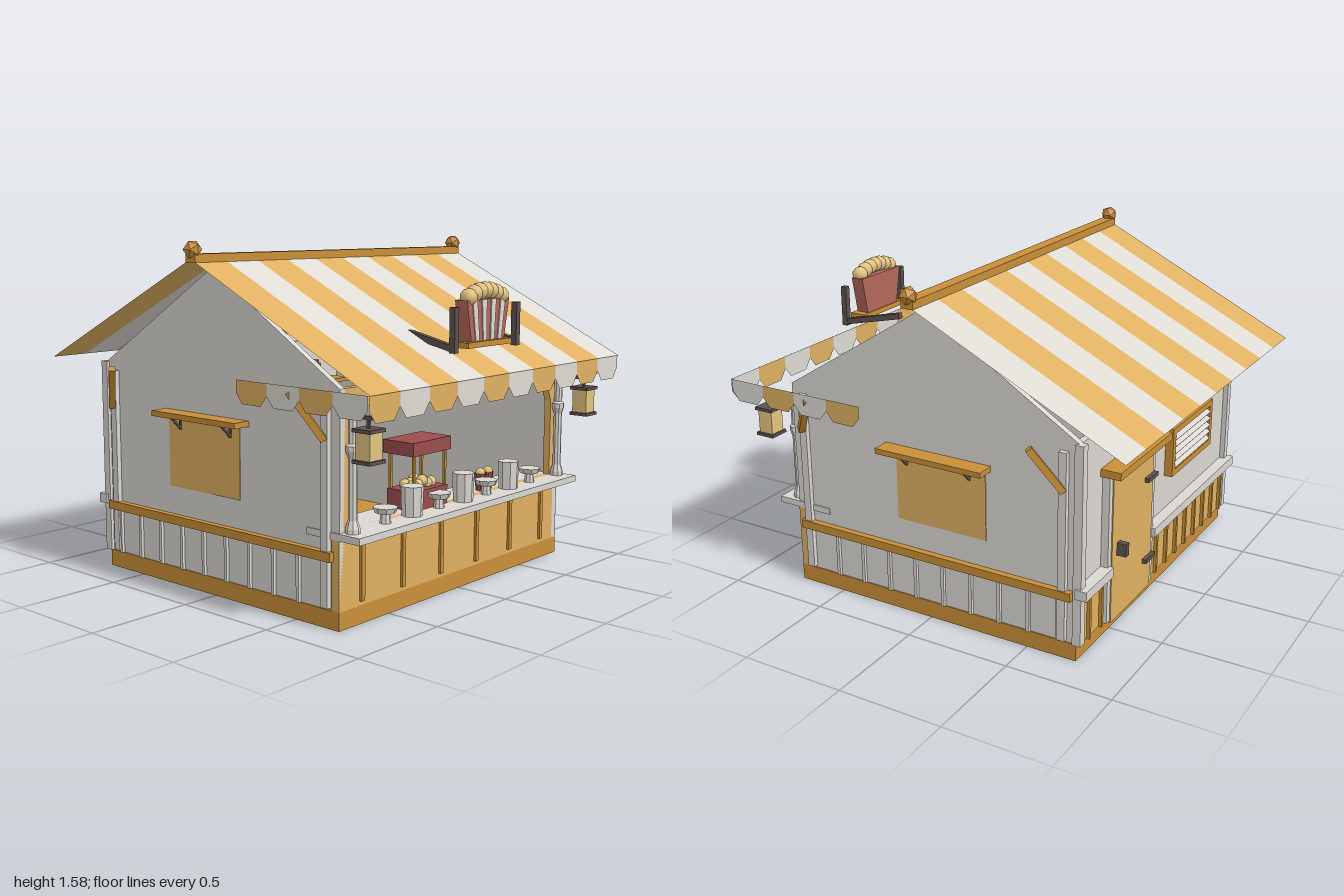
import * as THREE from 'three';

const make = (name, color, side = THREE.FrontSide) => {
  const m = new THREE.MeshStandardMaterial({ color, side });
  m.name = name;
  return m;
};

export function createModel() {
  const model = new THREE.Group();
  model.name = 'snackStall';
  const white = make('stripe white', 0xdedbd4, THREE.DoubleSide);
  const mustard = make('mustard', 0xdfb062, THREE.DoubleSide);
  const wall = make('wall grey', 0xdad7d2);
  const trim = make('wood trim', 0xc98f38);
  const dark = make('dark metal', 0x5c524e);
  const red = make('bucket red', 0xb5685a);
  const deepRed = make('machine red', 0x9c4d4d);
  const brown = make('canister brown', 0xb07c45);
  const cream = make('popcorn cream', 0xe2c480);

  const add = (name, geo, mat, x = 0, y = 0, z = 0) => {
    const m = new THREE.Mesh(geo, mat);
    m.name = name;
    m.position.set(x, y, z);
    model.add(m);
    return m;
  };
  // box given by its limits on each axis
  const box = (name, mat, x0, x1, y0, y1, z0, z1) =>
    add(name, new THREE.BoxGeometry(Math.abs(x1 - x0), y1 - y0, Math.abs(z1 - z0)), mat,
      (x0 + x1) / 2, (y0 + y1) / 2, (z0 + z1) / 2);
  // low-poly upright cylinder standing on y
  const cyl = (name, mat, rTop, rBottom, h, x, y, z, sides = 8) =>
    add(name, new THREE.CylinderGeometry(rTop, rBottom, h, sides).toNonIndexed(), mat, x, y + h / 2, z)
      .geometry.computeVertexNormals();
  const puff = (x, y, z, r) => add('popcornPuff', new THREE.IcosahedronGeometry(r, 1), cream, x, y, z);
  // square bar between two points
  const bar = (name, mat, a, b, w) => {
    const p = new THREE.Vector3(...a), q = new THREE.Vector3(...b);
    const m = add(name, new THREE.BoxGeometry(w, w, p.distanceTo(q)), mat);
    m.position.copy(p).add(q).multiplyScalar(0.5);
    m.lookAt(q);
  };
  const poly = pts => new THREE.Shape(pts.map(p => new THREE.Vector2(...p)));

  // base and floor
  box('base', trim, -0.82, 0.82, 0, 0.08, -0.74, 0.74);

  // side walls with gables
  const gable = poly([[-0.74, 0.08], [0.74, 0.08], [0.74, 1], [0, 1.46], [-0.74, 1]]);
  for (const s of [1, -1]) {
    const g = new THREE.ExtrudeGeometry(gable, { depth: 0.03, bevelEnabled: false });
    add('sideWall', g, wall, s * 0.8 - 0.015).rotation.y = Math.PI / 2;
    // wainscot strips, rail and corner posts
    for (let i = 0; i < 9; i++) {
      const z = 0.515 - i * 0.146;
      box('sideStrip', wall, s * 0.81, s * 0.83, 0.08, 0.29, z - 0.008, z + 0.008);
    }
    box('sideRail', trim, s * 0.81, s * 0.845, 0.29, 0.33, -0.72, 0.71);
    for (const e of [1, -1]) {
      box('sidePost', wall, s * 0.81, s * 0.838, 0.09, 0.96, e * 0.655, e * 0.692);
      bar('eaveBrace', trim, [s * 0.84, 0.79, e * 0.68], [s * 0.925, 0.985, e * 0.565], 0.03);
    }
    box('backCornerPost', wall, s * 0.79, s * 0.83, 0.08, 1, -0.765, -0.725);
    // side window with awning board
    box('sideWindow', mustard, s * 0.81, s * 0.819, 0.46, 0.79, -0.295, 0.165);
    box('windowAwning', trim, s * 0.81, s * 0.9, 0.79, 0.815, -0.32, 0.22);
    for (const z of [0.11, -0.215]) {
      box('awningBracket', dark, s * 0.81, s * 0.825, 0.73, 0.79, z - 0.006, z + 0.006);
      bar('awningStay', dark, [s * 0.82, 0.735, z], [s * 0.875, 0.79, z], 0.01);
    }
  }

  // back wall, wainscot, door and vent
  box('backWall', wall, -0.8, 0.8, 0.08, 1, -0.74, -0.71);
  for (const [a, b] of [[-0.8, 0.15], [0.58, 0.8]]) {
    box('backWainscot', mustard, a, b, 0.08, 0.31, -0.755, -0.74);
    box('backRail', wall, a - (a < 0 ? 0.04 : 0), b + (a > 0 ? 0.04 : 0), 0.31, 0.355, -0.795, -0.74);
    for (let x = a + 0.05; x < b; x += 0.115) box('backStrip', trim, x - 0.008, x + 0.008, 0.08, 0.31, -0.77, -0.755);
  }
  box('door', mustard, 0.16, 0.57, 0.07, 0.78, -0.78, -0.74);
  for (const x of [0.145, 0.585]) box('doorJamb', wall, x - 0.015, x + 0.015, 0.08, 0.785, -0.775, -0.74);
  box('doorLintel', trim, 0.09, 0.62, 0.785, 0.82, -0.835, -0.74);
  box('doorHandle', dark, 0.495, 0.525, 0.385, 0.445, -0.825, -0.78);
  for (const y of [0.23, 0.635]) box('doorHinge', dark, 0.15, 0.25, y - 0.01, y + 0.01, -0.8, -0.78);
  const ventFrame = poly([[-0.54, 0.53], [-0.06, 0.53], [-0.06, 0.77], [-0.54, 0.77]]);
  ventFrame.holes.push(poly([[-0.51, 0.56], [-0.51, 0.74], [-0.09, 0.74], [-0.09, 0.56]]));
  add('ventFrame', new THREE.ExtrudeGeometry(ventFrame, { depth: 0.04, bevelEnabled: false }), trim, 0, 0, -0.78);
  box('ventBack', dark, -0.51, -0.09, 0.56, 0.74, -0.746, -0.74);
  for (let i = 0; i < 5; i++) {
    const slat = box('ventSlat', wall, -0.51, -0.09, 0.574 + i * 0.035, 0.582 + i * 0.035, -0.785, -0.75);
    slat.rotation.x = -0.6;
  }

  // front frame with arched opening
  const frame = poly([[-0.8, 0.38], [0.8, 0.38], [0.8, 1], [-0.8, 1]]);
  const hole = new THREE.Path();
  hole.moveTo(-0.75, 0.41);
  hole.lineTo(-0.75, 0.78);
  hole.quadraticCurveTo(-0.7, 0.93, -0.52, 0.95);
  hole.lineTo(0.52, 0.95);
  hole.quadraticCurveTo(0.7, 0.93, 0.75, 0.78);
  hole.lineTo(0.75, 0.41);
  frame.holes.push(hole);
  add('frontFrame', new THREE.ExtrudeGeometry(frame, { depth: 0.035, bevelEnabled: false, curveSegments: 6 }), mustard, 0, 0, 0.705);
  box('frontPanel', mustard, -0.82, 0.82, 0.08, 0.38, 0.7, 0.74);
  for (let i = 0; i < 6; i++) {
    const x = -0.68 + i * 0.27;
    box('frontStrip', trim, x - 0.011, x + 0.011, 0.1, 0.365, 0.74, 0.752);
  }
  box('counter', wall, -0.82, 0.82, 0.38, 0.41, 0.56, 0.85);

  // columns and hanging lanterns
  const columnPts = [[0, 0], [0.032, 0], [0.032, 0.02], [0.02, 0.055], [0.02, 0.31], [0.03, 0.34], [0.03, 0.36], [0.02, 0.37], [0.02, 0.52], [0, 0.52]];
  for (const s of [1, -1]) {
    const column = new THREE.LatheGeometry(columnPts.map(p => new THREE.Vector2(...p)), 8).toNonIndexed();
    column.computeVertexNormals();
    add('column', column, wall, s * 0.77, 0.41, 0.77);
    const x = s * 0.81;
    box('lanternArm', dark, x - 0.008, x + 0.008, 0.893, 0.908, 0.73, 0.91);
    box('lanternHook', dark, x - 0.006, x + 0.006, 0.86, 0.9, 0.881, 0.893);
    box('lanternCap', dark, x - 0.048, x + 0.048, 0.845, 0.86, 0.84, 0.935);
    box('lanternGlass', cream, x - 0.038, x + 0.038, 0.735, 0.845, 0.849, 0.925);
    box('lanternFoot', dark, x - 0.048, x + 0.048, 0.72, 0.735, 0.84, 0.935);
  }

  // striped roof with scalloped valance
  const W = 0.187, slope = Math.atan2(1, 0.49), len = Math.hypot(1, 0.49);
  const scallop = (w, h) => new THREE.ShapeGeometry(poly([[-w / 2, 0], [-w / 2, -h * 0.55], [-w * 0.3, -h], [w * 0.3, -h], [w / 2, -h * 0.55], [w / 2, 0]]));
  for (let i = 0; i < 10; i++) {
    const x = (i - 4.5) * W, mat = i % 2 ? white : mustard;
    add('roofStripeFront', new THREE.PlaneGeometry(W, len), mat, x, 1.255, 0.5).rotation.x = -slope;
    add('roofStripeBack', new THREE.PlaneGeometry(W, len), mat, x, 1.255, -0.5).rotation.x = slope - Math.PI;
    add('frontValance', scallop(W, 0.11), mat, x, 1.01, 0.995);
  }
  for (const s of [1, -1]) {
    for (let i = 0; i < 4; i++) {
      add('sideValance', scallop(0.18, 0.1), i % 2 ? mustard : white, s * 0.935, 1.01, 0.9 - i * 0.18).rotation.y = s * Math.PI / 2;
    }
    add('finial', new THREE.IcosahedronGeometry(0.042, 0), trim, s * 0.922, 1.54, 0);
  }
  box('ridgeBeam', trim, -0.935, 0.935, 1.485, 1.522, -0.03, 0.03);

  // popcorn bucket sign on the roof
  box('signBoard', trim, -0.163, 0.163, 1.12, 1.145, 0.81, 0.893);
  const bottom = 0.123, top = 0.158;
  const bucket = poly([[-bottom, 1.145], [bottom, 1.145], [top, 1.325], [-top, 1.325]]);
  add('signBucket', new THREE.ExtrudeGeometry(bucket, { depth: 0.064, bevelEnabled: false }), red, 0, 0, 0.816);
  for (let i = 1; i < 9; i += 2) {
    const a = i / 4.5 - 1, b = (i + 1) / 4.5 - 1;
    const stripe = poly([[a * bottom, 1.147], [b * bottom, 1.147], [b * top, 1.325], [a * top, 1.325]]);
    add('bucketStripe', new THREE.ExtrudeGeometry(stripe, { depth: 0.006, bevelEnabled: false }), white, 0, 0, 0.879);
  }
  for (let i = 0; i < 7; i++) {
    const t = i / 3 - 1;
    puff(t * 0.118, 1.362 - t * t * 0.025, 0.858, 0.039);
  }
  for (const s of [1, -1]) {
    box('signUpright', dark, s * 0.217, s * 0.246, 1.105, 1.3, 0.853, 0.882);
    bar('signArm', dark, [s * 0.231, 1.122, 0.87], [s * 0.231, 1.198, 0.54], 0.028);
  }

  // back shelves with canisters
  for (const [y, h] of [[0.79, 0.11], [0.59, 0.085]]) {
    box('shelf', trim, -0.72, 0.72, y - 0.02, y, -0.71, -0.56);
    [-0.5, -0.3, -0.1, 0.1, 0.3, 0.5].forEach((x, i) => {
      const mat = i === 1 || i === 4 ? dark : brown;
      cyl('canister', mat, 0.045, 0.045, h * 0.85, x, y, -0.63);
      cyl('canisterLid', mat, 0.036, 0.036, h * 0.15, x, y + h * 0.85, -0.63);
    });
  }

  // cups and bowls on the counter
  for (const x of [-0.37, 0, 0.36]) cyl('paperCup', wall, 0.05, 0.046, 0.13, x, 0.41, 0.76);
  for (const x of [-0.55, -0.18, 0.18, 0.54]) {
    cyl('bowlFoot', wall, 0.02, 0.025, 0.045, x, 0.41, 0.76);
    cyl('bowl', wall, 0.055, 0.045, 0.024, x, 0.455, 0.76);
  }
  for (const x of [0.23, 0.29]) {
    cyl('redCup', deepRed, 0.028, 0.02, 0.08, x, 0.41, 0.69);
    puff(x, 0.493, 0.69, 0.024);
  }

  // popcorn machine
  box('machineBase', deepRed, -0.32, -0.08, 0.41, 0.495, 0.58, 0.73);
  box('machineRoof', deepRed, -0.338, -0.07, 0.655, 0.715, 0.57, 0.74);
  for (const x of [-0.31, -0.09]) for (const z of [0.59, 0.72]) box('machinePost', trim, x - 0.006, x + 0.006, 0.495, 0.655, z - 0.006, z + 0.006);
  for (let i = 0; i < 10; i++) puff(-0.265 + (i % 5) * 0.032, 0.51 + (i % 5 === 2 ? 0.015 : 0), 0.635 + Math.floor(i / 5) * 0.045, 0.026);

  return model;
}
